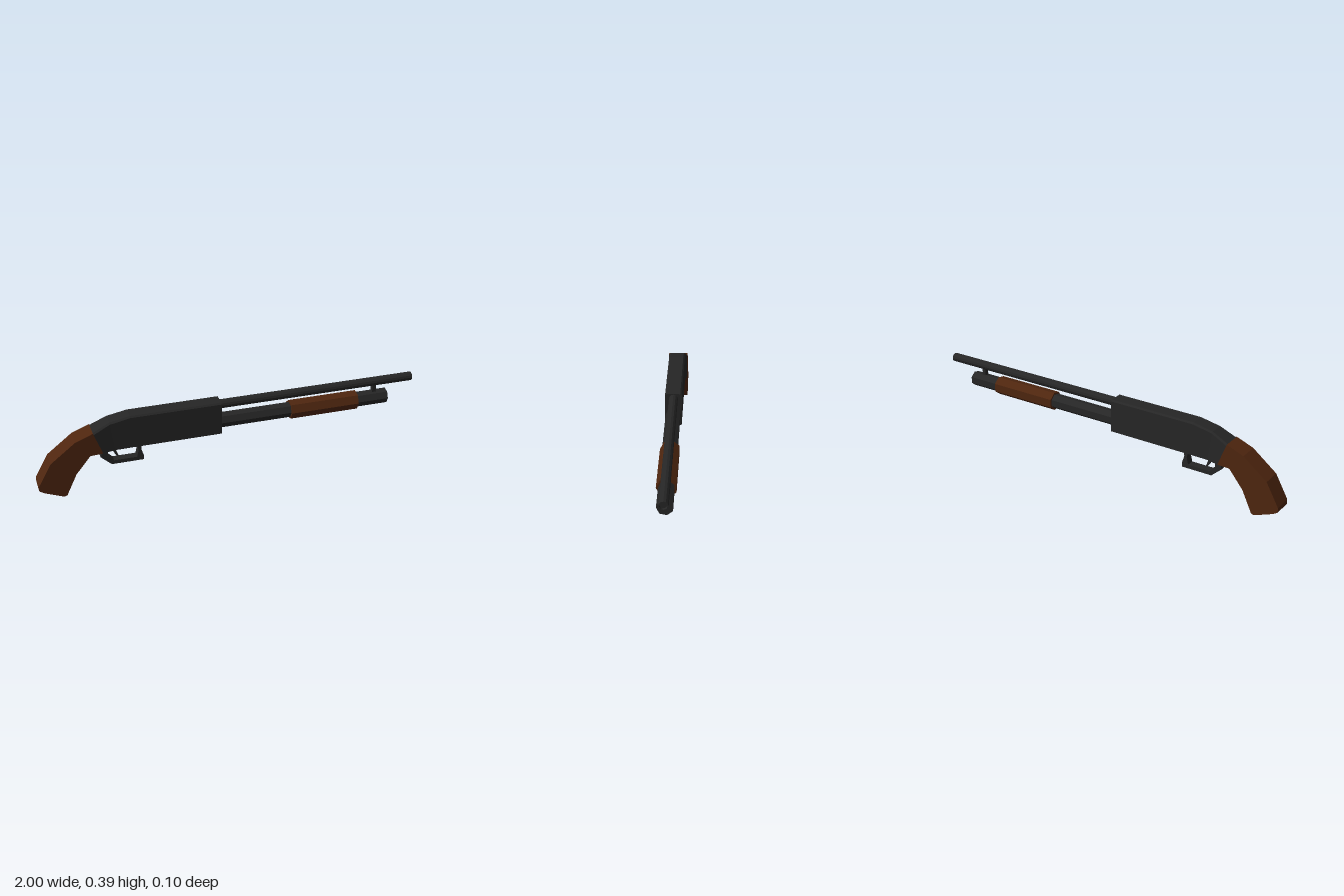
import * as THREE from 'three';

const black = new THREE.MeshStandardMaterial({ color: 0x262626, flatShading: true });
const wood = new THREE.MeshStandardMaterial({ color: 0x4f260f, flatShading: true });

function named(name, geometry, material) {
  const mesh = new THREE.Mesh(geometry, material);
  mesh.name = name;
  return mesh;
}

// Side outline in x/y, given a width centred on z = 0
function plate(name, outline, width, material, hole) {
  const toPoints = (list) => list.map(([x, y]) => new THREE.Vector2(x, y));
  const shape = new THREE.Shape(toPoints(outline));
  if (hole) shape.holes.push(new THREE.Path(toPoints(hole)));
  const geometry = new THREE.ExtrudeGeometry(shape, { depth: width, bevelEnabled: false });
  geometry.translate(0, 0, -width / 2);
  return named(name, geometry, material);
}

// Prism along x from x0 to x1, with one corner pointing down
function rod(name, x0, x1, y, radius, sides, material) {
  const geometry = new THREE.CylinderGeometry(radius, radius, x1 - x0, sides);
  geometry.rotateZ(-Math.PI / 2);
  geometry.translate((x0 + x1) / 2, y, 0);
  return named(name, geometry, material);
}

// Receiver: bevelled sections lofted along x, slanted and wider at the rear
function receiverGeometry() {
  const stations = [ // top x, top y, bottom x, bottom y, half width
    [-0.715, 0.335, -0.67, 0.215, 0.051],
    [-0.63, 0.375, -0.61, 0.22, 0.044],
    [-0.525, 0.395, -0.525, 0.22, 0.043],
    [-0.055, 0.395, -0.055, 0.22, 0.043],
  ];
  const bevel = 0.008;
  const positions = [];
  const index = [];
  for (const [xt, yt, xb, yb, w] of stations) {
    const ring = [[-w, yb], [-w, yt - bevel], [-w + bevel, yt], [w - bevel, yt], [w, yt - bevel], [w, yb]];
    for (const [z, y] of ring) {
      positions.push(THREE.MathUtils.mapLinear(y, yb, yt, xb, xt), y, z);
    }
  }
  const n = 6;
  const last = (stations.length - 1) * n;
  for (let i = 0; i < last; i += n) {
    for (let j = 0; j < n; j++) {
      const k = (j + 1) % n;
      index.push(i + j, i + k, i + n + k, i + j, i + n + k, i + n + j);
    }
  }
  for (let j = 1; j < n - 1; j++) {
    index.push(0, j + 1, j, last, last + j, last + j + 1);
  }
  const geometry = new THREE.BufferGeometry();
  geometry.setAttribute('position', new THREE.Float32BufferAttribute(positions, 3));
  geometry.setIndex(index);
  geometry.computeVertexNormals();
  return geometry;
}

// Barrel with a shallow bore, turned about its own axis
function barrelGeometry() {
  const profile = [[0, -0.06], [0.023, -0.06], [0.023, 1], [0.018, 1], [0.018, 0.985], [0, 0.985]];
  const geometry = new THREE.LatheGeometry(profile.map(([r, x]) => new THREE.Vector2(r, x)), 12);
  geometry.rotateZ(-Math.PI / 2);
  geometry.translate(0, 0.369, 0);
  return geometry;
}

export function createModel() {
  const model = new THREE.Group();
  model.name = 'shotgun';

  model.add(named('receiver', receiverGeometry(), black));
  model.add(named('barrel', barrelGeometry(), black));

  // Magazine tube with the sliding fore-end around it
  model.add(rod('magazineTube', -0.06, 0.86, 0.277, 0.04, 7, black));
  model.add(rod('foreEnd', 0.32, 0.69, 0.277, 0.05, 7, wood));

  // Strut between tube and barrel
  model.add(plate('barrelSupport',
    [[0.775, 0.3], [0.81, 0.3], [0.8, 0.318], [0.8, 0.355], [0.78, 0.355], [0.78, 0.318]], 0.022, black));

  // Curved pistol grip
  model.add(plate('grip', [
    [-0.715, 0.335], [-0.805, 0.3], [-0.933, 0.2], [-1, 0.08], [-1, 0.055], [-0.975, 0.04],
    [-0.88, 0.002], [-0.864, 0.006], [-0.853, 0.03], [-0.81, 0.12], [-0.735, 0.212], [-0.67, 0.215],
  ], 0.102, wood));

  // Trigger guard and trigger
  model.add(plate('triggerGuard', [
    [-0.665, 0.222], [-0.68, 0.178], [-0.625, 0.128], [-0.46, 0.128], [-0.46, 0.15], [-0.472, 0.19], [-0.468, 0.225],
  ], 0.042, black, [
    [-0.64, 0.215], [-0.645, 0.178], [-0.613, 0.148], [-0.495, 0.148], [-0.486, 0.185], [-0.492, 0.219],
  ]));
  model.add(plate('trigger', [
    [-0.622, 0.225], [-0.595, 0.225], [-0.598, 0.195], [-0.587, 0.165], [-0.598, 0.167], [-0.612, 0.192],
  ], 0.016, black));

  return model;
}
